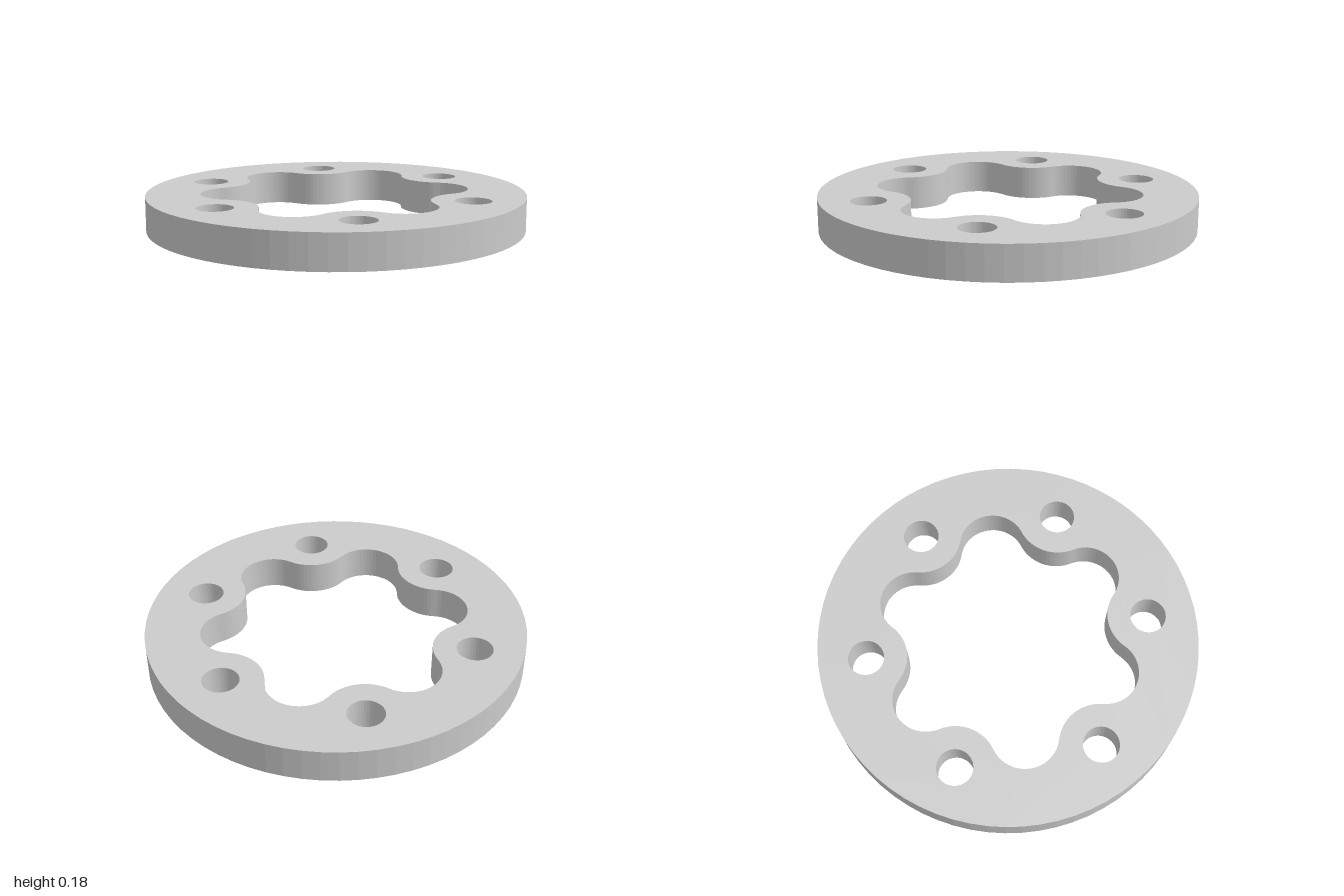
import * as THREE from 'three';

const HEIGHT = 0.18;
const BOLT_CIRCLE = 0.75, BOLT_R = 0.094;
const BOSS_R = 0.215;                 // wall kept around each bolt hole
const LOBE_D = 0.539, LOBE_R = 0.176; // scallops tangent to the bosses
const COUNT = 6;

// points along an arc, leaving out its end point
function arc(cx, cy, r, from, to, n) {
  return Array.from({ length: n }, (_, i) => {
    const a = from + (to - from) * i / n;
    return new THREE.Vector2(cx + r * Math.cos(a), cy + r * Math.sin(a));
  });
}

// scalloped opening: inward boss arcs alternating with outward lobe arcs
function scallopedOpening() {
  const step = 2 * Math.PI / COUNT, half = step / 2;
  const phi = Math.atan2(LOBE_D * Math.sin(half), LOBE_D * Math.cos(half) - BOLT_CIRCLE);
  const points = [];
  for (let k = 0; k < COUNT; k++) {
    const a = k * step, b = a + half;
    points.push(
      ...arc(BOLT_CIRCLE * Math.cos(a), BOLT_CIRCLE * Math.sin(a), BOSS_R,
        a + 2 * Math.PI - phi, a + phi, 16),
      ...arc(LOBE_D * Math.cos(b), LOBE_D * Math.sin(b), LOBE_R,
        a + phi - Math.PI, a + step + Math.PI - phi, 24));
  }
  return new THREE.Path(points);
}

export function createModel() {
  const group = new THREE.Group();
  group.name = 'flangeRing';

  // round plate with the opening and a ring of bolt holes
  const plate = new THREE.Shape(arc(0, 0, 1, 0, 2 * Math.PI, 72));
  plate.holes.push(scallopedOpening());
  for (let k = 0; k < COUNT; k++) {
    const a = k * 2 * Math.PI / COUNT;
    plate.holes.push(new THREE.Path(
      arc(BOLT_CIRCLE * Math.cos(a), BOLT_CIRCLE * Math.sin(a), BOLT_R, 0, 2 * Math.PI, 40)));
  }

  const geometry = new THREE.ExtrudeGeometry(plate, { depth: HEIGHT, bevelEnabled: false });
  geometry.rotateX(-Math.PI / 2);
  const mesh = new THREE.Mesh(geometry, new THREE.MeshStandardMaterial({ color: 0xcccccc }));
  mesh.name = 'scallopedPlate';
  group.add(mesh);
  return group;
}
